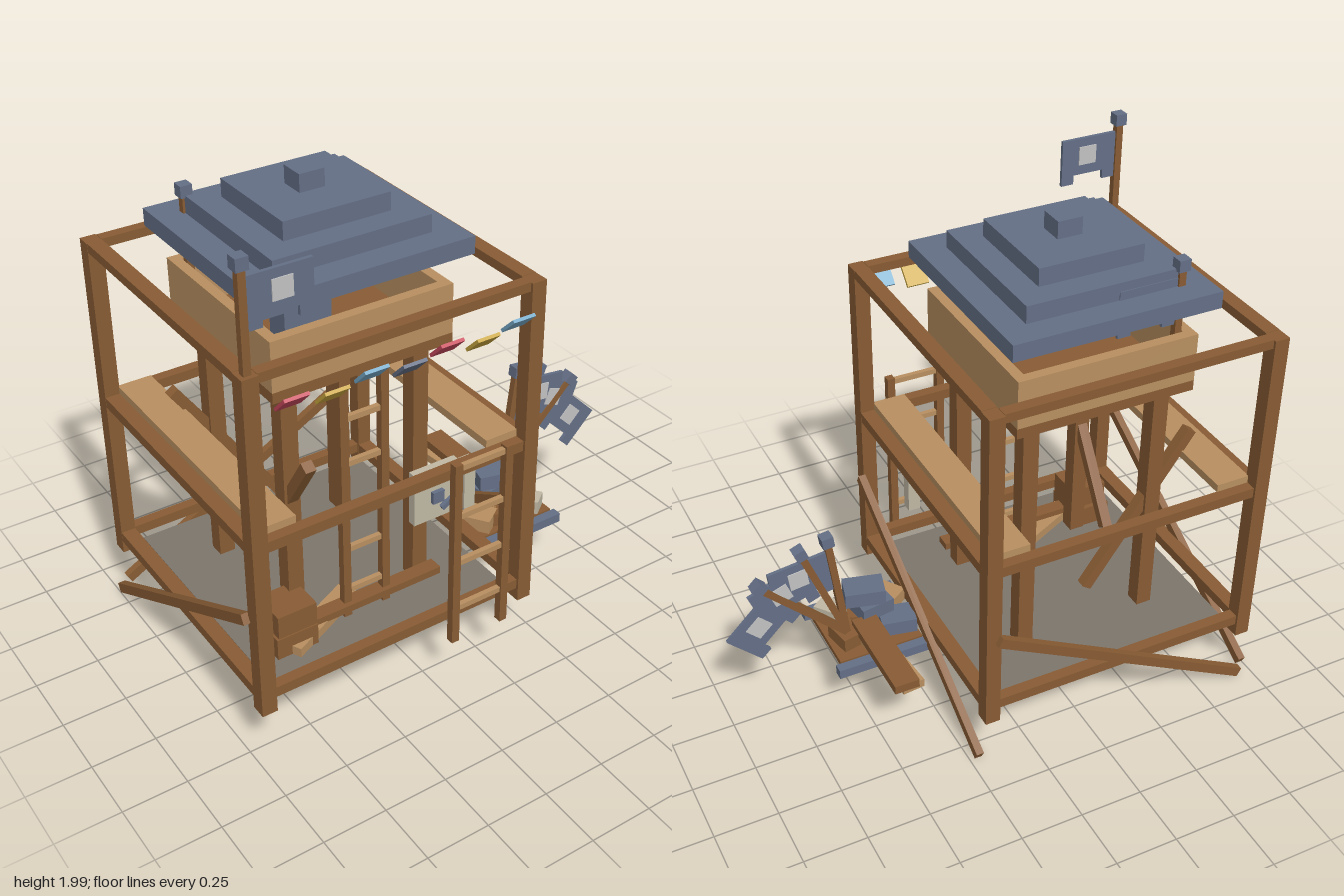
import * as THREE from 'three';

const mat = (name, color) => {
  const m = new THREE.MeshStandardMaterial({ color });
  m.name = name;
  return m;
};

export function createModel() {
  const brown = mat('dark wood', 0x885c34), tan = mat('light wood', 0xb88f60);
  const slate = mat('slate blue', 0x646f86), cream = mat('cream', 0xc0b8a4);
  const pale = mat('pale grey', 0xc2c2c2), stone = mat('stone', 0x7d756c);
  const red = mat('red', 0xc84a5c), yellow = mat('yellow', 0xc9a63e), blue = mat('sky blue', 0x75a9c9);
  const model = new THREE.Group();
  const CX = -0.385, CZ = -0.025;

  const group = (name, parent = model) => {
    const g = new THREE.Group();
    g.name = name;
    parent.add(g);
    return g;
  };
  // box from its size and centre
  const box = (parent, name, m, w, h, d, x, y, z, ry = 0) => {
    const b = new THREE.Mesh(new THREE.BoxGeometry(w, h, d), m);
    b.name = name;
    b.position.set(x, y, z);
    b.rotation.y = ry;
    parent.add(b);
    return b;
  };
  // box from its limits
  const span = (parent, name, m, x0, x1, y0, y1, z0, z1) =>
    box(parent, name, m, x1 - x0, y1 - y0, z1 - z0, (x0 + x1) / 2, (y0 + y1) / 2, (z0 + z1) / 2);
  // timber between two points, lying in the xy or zy plane
  const beam = (parent, name, m, a, b, t, u = t) => {
    const A = new THREE.Vector3(...a), B = new THREE.Vector3(...b), d = B.clone().sub(A);
    const k = box(parent, name, m, t, d.length(), u, 0, 0, 0);
    k.position.copy(A).add(B).multiplyScalar(0.5);
    k.quaternion.setFromUnitVectors(new THREE.Vector3(0, 1, 0), d.normalize());
    return k;
  };

  // outer frame
  const frame = group('frame');
  span(frame, 'floorSlab', stone, -0.893, 0.125, 0.21, 0.262, -0.534, 0.484);
  for (const s of [-1, 1]) {
    for (const t of [-1, 1]) box(frame, 'cornerPost', brown, 0.06, 1.372, 0.062, CX + s * 0.56, 0.896, CZ + t * 0.561);
    for (const y of [0.285, 0.918, 1.566]) {
      const h = y > 1.5 ? 0.036 : 0.042;
      box(frame, 'sideRail', brown, 0.058, h, 1.06, CX + s * 0.56, y, CZ);
      box(frame, 'crossRail', brown, 1.06, h, 0.044, CX, y, CZ + s * 0.56);
    }
    box(frame, 'walkway', tan, 0.138, 0.032, 1.08, CX + s * 0.463, 0.953, CZ);
    const x = CX + s * 0.6;
    beam(frame, 'sideBrace', brown, [x, 0.02, -0.585], [x, 0.62, 0.51], 0.03, 0.04);
  }
  beam(frame, 'backBrace', brown, [-0.94, 0.02, -0.627], [0.16, 0.62, -0.627], 0.04, 0.03);

  // inner tower with lookout box
  const tower = group('tower');
  for (const s of [-1, 1])
    for (const t of [-1, 1]) box(tower, 'towerLeg', brown, 0.064, 1.04, 0.066, CX + s * 0.272, 0.78, CZ + t * 0.272);
  beam(tower, 'leaningBrace', brown, [-0.82, 1.05, -0.297], [-0.39, 0.43, -0.297], 0.042);
  beam(tower, 'leaningBrace', brown, [-0.657, 1.05, 0.4], [-0.657, 0.43, -0.01], 0.042);
  box(tower, 'lookoutFloor', brown, 0.728, 0.042, 0.73, CX, 1.32, CZ);
  for (const s of [-1, 1]) {
    box(tower, 'lookoutWall', tan, 0.728, 0.194, 0.04, CX, 1.438, CZ + s * 0.345);
    box(tower, 'lookoutWall', tan, 0.04, 0.194, 0.65, CX + s * 0.344, 1.438, CZ);
  }
  box(tower, 'supplyBox', slate, 0.18, 0.25, 0.1, -0.57, 1.47, 0.235);

  // stepped roof
  const roof = group('roof');
  [[0.83, 1.655, 1.722], [0.62, 1.722, 1.79], [0.42, 1.79, 1.86], [0.1, 1.86, 1.928]].forEach(([w, a, b]) =>
    box(roof, 'roofTier', slate, w, b - a, w, CX, (a + b) / 2, CZ));

  // notched banner on a pole, origin at the foot of the pole
  const bannerShape = new THREE.Shape([
    [0.015, -0.05], [0.25, -0.05], [0.25, -0.237], [0.197, -0.237], [0.197, -0.2],
    [0.067, -0.2], [0.067, -0.237], [0.015, -0.237]].map(p => new THREE.Vector2(...p)));
  const bannerGeo = new THREE.ExtrudeGeometry(bannerShape, { depth: 0.014, bevelEnabled: false }).translate(0, 0, -0.007);
  const banner = (x, y, z, len, lean = 0) => {
    const g = group('banner');
    g.position.set(x, y, z);
    g.rotation.z = -lean;
    box(g, 'bannerPole', brown, 0.028, len, 0.028, 0, len / 2, 0);
    box(g, 'poleCap', slate, 0.046, 0.046, 0.046, 0, len, 0);
    const cloth = new THREE.Mesh(bannerGeo, slate);
    cloth.name = 'bannerCloth';
    cloth.position.y = len;
    g.add(cloth);
    box(g, 'bannerPatch', pale, 0.075, 0.075, 0.022, 0.139, len - 0.122, 0);
  };
  banner(-0.945, 1.58, 0.538, 0.385);
  banner(-0.69, 1.34, -0.332, 0.465);
  banner(0.517, 0.33, -0.025, 0.472, 0.125);
  banner(0.517, 0.33, -0.025, 0.475, 0.36);
  banner(0.517, 0.33, -0.025, 0.48, 0.777);

  // tilted bunting along the front
  const bunting = group('bunting');
  [red, yellow, blue, slate, red, yellow, blue].forEach((m, i) => {
    const p = box(bunting, 'pennant', m, 0.092, 0.09, 0.012, -0.824 + i * 0.147, i % 2 ? 1.45 : 1.477, 0.604);
    p.rotation.x = Math.PI / 4;
  });

  // ladders
  const ladder = (name, x, z, half, y0, y1, rungs) => {
    const g = group(name);
    for (const s of [-1, 1]) box(g, 'ladderRail', brown, 0.032, y1 - y0, 0.032, x + s * half, (y0 + y1) / 2, z);
    for (const y of rungs) box(g, 'rung', tan, half * 2, 0.022, 0.02, x, y, z);
  };
  ladder('towerLadder', -0.385, 0.315, 0.085, 0.26, 1.3, [0.375, 0.5625, 0.75, 0.9375, 1.125]);
  ladder('frontLadder', -0.08, 0.61, 0.11, 0.21, 1, [0.36, 0.567, 0.773, 0.98]);

  // notice boards
  const boards = group('boards');
  span(boards, 'board', cream, -0.18, 0.02, 0.56, 0.785, 0.305, 0.34);
  span(boards, 'narrowBoard', cream, 0.045, 0.095, 0.55, 0.76, 0.3, 0.345);
  box(boards, 'boardSquare', slate, 0.05, 0.05, 0.02, -0.08, 0.663, 0.347);
  box(boards, 'boardBar', slate, 0.085, 0.02, 0.02, -0.025, 0.624, 0.347).rotation.z = 0.5;

  // crates and planks on the floor
  const stores = group('floorStores');
  span(stores, 'lowerCrate', brown, -0.81, -0.64, 0.26, 0.35, 0.22, 0.395);
  span(stores, 'upperCrate', brown, -0.8, -0.64, 0.35, 0.445, 0.24, 0.39);
  box(stores, 'floorPlank', tan, 0.38, 0.04, 0.08, -0.58, 0.28, 0.31, 0.45);
  box(stores, 'floorPlank', brown, 0.58, 0.03, 0.06, -0.355, 0.311, 0.32);

  // side loading platform
  const dock = group('sidePlatform');
  for (const z of [-0.13, 0.245]) span(dock, 'platformRunner', slate, 0.205, 0.6, 0.21, 0.25, z - 0.02, z + 0.02);
  span(dock, 'platformDeck', brown, 0.23, 0.58, 0.235, 0.258, -0.11, 0.225);
  box(dock, 'block', tan, 0.11, 0.058, 0.12, 0.28, 0.287, 0.14, 0.6);
  box(dock, 'block', brown, 0.13, 0.058, 0.18, 0.39, 0.287, 0.12, -0.3);
  box(dock, 'block', cream, 0.08, 0.058, 0.13, 0.505, 0.287, 0.15, 0.65);
  box(dock, 'block', brown, 0.09, 0.058, 0.12, 0.51, 0.287, 0, 0.2);
  box(dock, 'block', slate, 0.14, 0.062, 0.11, 0.295, 0.289, -0.01, -0.2);
  box(dock, 'block', slate, 0.14, 0.064, 0.12, 0.375, 0.349, 0.06, 0.15);
  box(dock, 'block', slate, 0.16, 0.064, 0.11, 0.4, 0.413, 0.07, -0.25);
  box(dock, 'longPlank', brown, 0.1, 0.036, 0.42, 0.43, 0.322, -0.2);
  box(dock, 'longPlank', tan, 0.09, 0.036, 0.36, 0.41, 0.284, -0.205, 0.1);

  return model;
}
